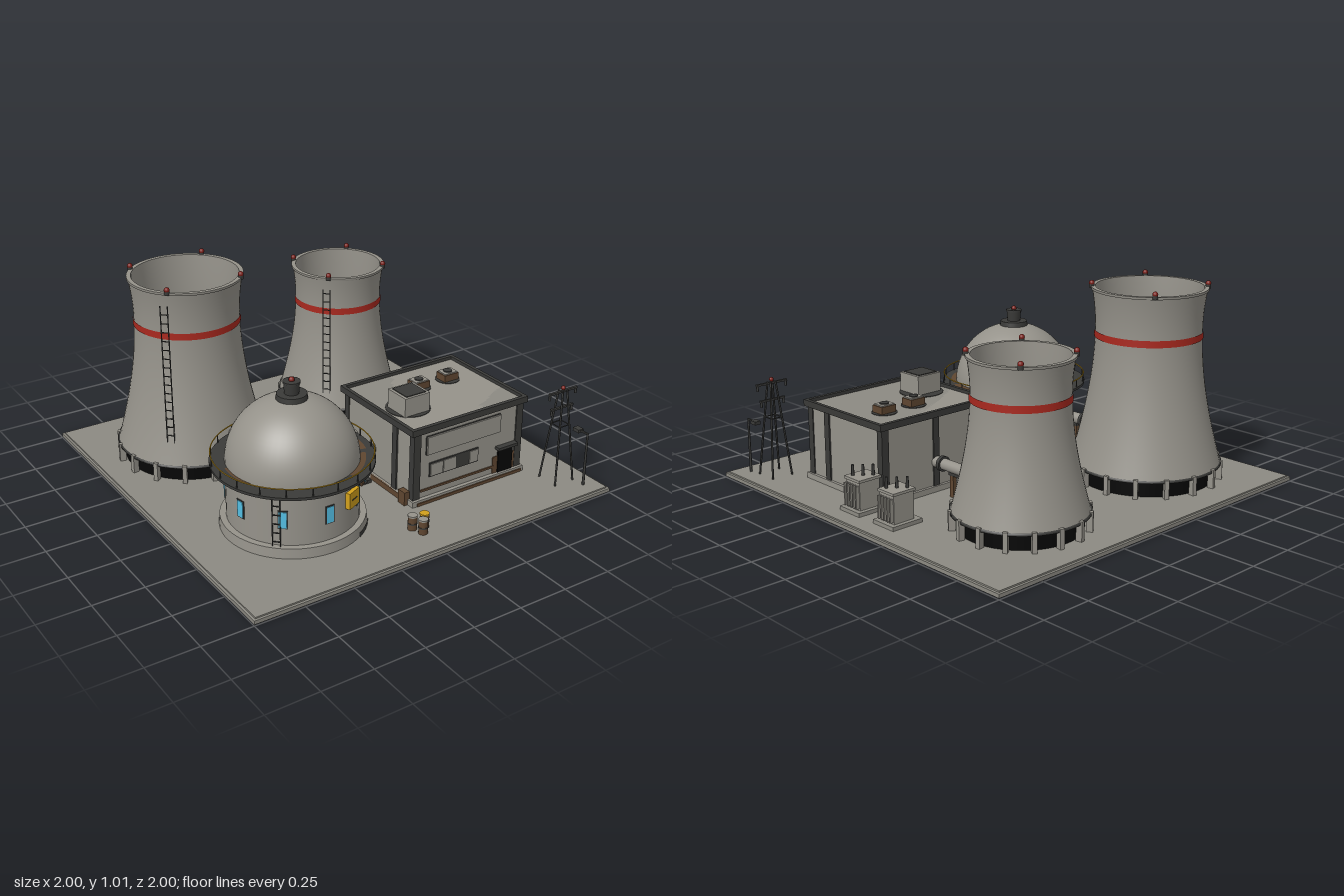
import * as THREE from 'three';

const colours = {
  concrete: 0x95928a, ground: 0x8c8a82, steel: 0x3a3a38, black: 0x060606, rust: 0x5f4630,
  red: 0xa8281e, lampRed: 0x7c1e18, yellow: 0xd2a01c, glass: 0x54bfe4, lightGrey: 0xa3a19a,
};
const M = {};

const add = (parent, name, geo, mat, x = 0, y = 0, z = 0) => {
  const m = new THREE.Mesh(geo, mat);
  m.name = name;
  m.position.set(x, y, z);
  parent.add(m);
  return m;
};
const group = (parent, name, x = 0, y = 0, z = 0, ry = 0) => {
  const g = new THREE.Group();
  g.name = name;
  g.position.set(x, y, z);
  g.rotation.y = ry;
  parent.add(g);
  return g;
};
// box given by its min and max corners
const box = (p, name, mat, x0, x1, y0, y1, z0, z1) => add(p, name,
  new THREE.BoxGeometry(x1 - x0, y1 - y0, z1 - z0), mat, (x0 + x1) / 2, (y0 + y1) / 2, (z0 + z1) / 2);
// upright cylinder from y0 to y1
const cyl = (p, name, mat, r0, r1, y0, y1, x = 0, z = 0, seg = 20) => add(p, name,
  new THREE.CylinderGeometry(r1, r0, y1 - y0, seg), mat, x, (y0 + y1) / 2, z);
// rod between two points
const rod = (p, name, mat, r, a, b, seg = 6) => {
  const A = new THREE.Vector3(...a), B = new THREE.Vector3(...b), d = B.clone().sub(A);
  const m = add(p, name, new THREE.CylinderGeometry(r, r, d.length(), seg), mat);
  m.position.copy(A).add(B).multiplyScalar(0.5);
  m.quaternion.setFromUnitVectors(new THREE.Vector3(0, 1, 0), d.normalize());
  return m;
};
const lathe = (p, name, mat, pts, seg = 56, start = 0, len = Math.PI * 2) =>
  add(p, name, new THREE.LatheGeometry(pts.map(q => new THREE.Vector2(...q)), seg, start, len), mat);

// ladder facing outward along +z of its own group
function ladder(parent, x, z, ry, y0, y1) {
  const g = group(parent, 'ladder', x, 0, z, ry);
  for (const s of [-1, 1]) box(g, 'ladderRail', M.steel, s * 0.018 - 0.002, s * 0.018 + 0.002, y0, y1, -0.003, 0.003);
  for (let y = y0 + 0.02; y < y1; y += 0.045) box(g, 'ladderRung', M.steel, -0.018, 0.018, y, y + 0.004, -0.002, 0.002);
}

function coolingTower(root, name, x, z, rBase, rNeck, rTop, yNeck, yTop, yBand) {
  const t = group(root, name, x, 0, z), y0 = 0.11;
  const radius = y => {
    const [re, ye] = y < yNeck ? [rBase, y0] : [rTop, yTop];
    return Math.sqrt(rNeck ** 2 + (re ** 2 - rNeck ** 2) * ((y - yNeck) / (ye - yNeck)) ** 2);
  };
  const profile = (a, b, n, off) => Array.from({ length: n + 1 }, (_, i) => {
    const y = a + (b - a) * i / n;
    return [radius(y) + off, y];
  });
  lathe(t, 'towerShell', M.concrete, profile(y0, yTop, 24, 0));
  lathe(t, 'towerInnerWall', M.concrete, [[rTop - 0.018, yTop], [rNeck - 0.006, yTop - 0.12], [rNeck - 0.006, yTop - 0.23]]);
  lathe(t, 'warningBand', M.red, profile(yBand - 0.017, yBand + 0.017, 3, 0.004));
  lathe(t, 'rimLip', M.concrete, [[rTop, yTop - 0.012], [rTop + 0.004, yTop - 0.012], [rTop + 0.004, yTop]]);
  lathe(t, 'rimTop', M.concrete, [[rTop + 0.004, yTop], [rTop - 0.018, yTop]]);
  cyl(t, 'towerShaft', M.black, rNeck - 0.006, rNeck - 0.006, yTop - 0.225, yTop - 0.22, 0, 0, 56);
  // intake level: dark core, ring beam and columns
  cyl(t, 'intakeCore', M.black, rBase - 0.03, rBase - 0.03, 0.02, 0.118, 0, 0, 48);
  lathe(t, 'ringBeam', M.steel, [[rBase - 0.03, 0.108], [rBase + 0.004, 0.108], [rBase + 0.004, 0.12], [rBase - 0.005, 0.12]]);
  for (let i = 0; i < 16; i++) {
    const c = group(t, 'intakeColumn', 0, 0, 0, (i + 0.5) / 16 * Math.PI * 2);
    box(c, 'column', M.concrete, -0.011, 0.011, 0.02, 0.125, rBase - 0.02, rBase + 0.011);
  }
  for (let i = 0; i < 4; i++) {
    const a = Math.PI / 4 + i * Math.PI / 2, lx = Math.cos(a) * rTop, lz = Math.sin(a) * rTop;
    cyl(t, 'lampFoot', M.steel, 0.013, 0.013, yTop - 0.01, yTop + 0.01, lx, lz, 10);
    add(t, 'warningLamp', new THREE.SphereGeometry(0.014, 12, 8), M.lampRed, lx, yTop + 0.014, lz);
  }
  const rl = (rBase + rNeck) / 2 + 0.02;
  ladder(t, -rl * 0.707, rl * 0.707, -Math.PI / 4, 0.2, yTop - 0.045);
}

function reactor(root) {
  const g = group(root, 'reactor', -0.445, 0, 0.41), R = 0.31;
  cyl(g, 'reactorPlinth', M.concrete, 0.345, 0.34, 0.02, 0.08, 0, 0, 56);
  cyl(g, 'reactorWall', M.concrete, R, R, 0.07, 0.36, 0, 0, 56);
  add(g, 'dome', new THREE.SphereGeometry(R, 56, 20, 0, Math.PI * 2, 0, Math.PI / 2), M.concrete, 0, 0.355, 0);
  cyl(g, 'walkwayDeck', M.steel, 0.38, 0.38, 0.347, 0.36, 0, 0, 56);
  add(g, 'handrail', new THREE.TorusGeometry(0.374, 0.003, 6, 64), M.yellow, 0, 0.4, 0).rotation.x = Math.PI / 2;
  for (let i = 0; i < 20; i++) {
    const a = i / 20 * Math.PI * 2;
    cyl(g, 'railPost', M.steel, 0.003, 0.003, 0.36, 0.4, Math.cos(a) * 0.374, Math.sin(a) * 0.374, 6);
  }
  // weathering
  for (const [a, l, r] of [[0.4, 0.7, 0.335], [1.2, 1.2, 0.345], [4.5, 0.6, 0.322]])
    lathe(g, 'deckRust', M.rust, [[r, 0.362], [R, 0.362]], 16, a, l);
  for (const [a, l, mat, h] of [[0.5, 0.85, M.steel, 0.055], [2.2, 0.5, M.rust, 0.05]])
    lathe(g, 'plinthStain', mat, [[0.347, 0.028], [0.346, h]], 16, a, l);
  // windows
  for (let i = 0; i < 9; i++) {
    if (i === 2) continue;
    const w = group(g, 'window', 0, 0, 0, i * Math.PI * 2 / 9);
    box(w, 'windowFrame', M.steel, -0.023, 0.023, 0.165, 0.255, R - 0.01, R + 0.003);
    box(w, 'windowPane', M.glass, -0.018, 0.018, 0.17, 0.25, R, R + 0.006);
  }
  const h = group(g, 'warningHatch', 0, 0, 0, 0.44);
  box(h, 'hatchPlate', M.yellow, -0.042, 0.042, 0.2, 0.28, R - 0.01, R + 0.02);
  box(h, 'hatchMark', M.steel, -0.02, 0.02, 0.238, 0.243, R + 0.02, R + 0.022);
  ladder(g, -0.228, 0.228, -Math.PI / 4, 0.08, 0.36);
  // dome cap
  cyl(g, 'capBase', M.steel, 0.075, 0.07, 0.645, 0.68, 0, 0, 24);
  cyl(g, 'capNeck', M.steel, 0.034, 0.038, 0.68, 0.735, 0, 0, 16);
  cyl(g, 'capTop', M.steel, 0.041, 0.041, 0.73, 0.74, 0, 0, 16);
  add(g, 'capLamp', new THREE.SphereGeometry(0.014, 12, 8), M.lampRed, 0, 0.745, 0);
}

function turbineHall(root) {
  const g = group(root, 'turbineHall');
  box(g, 'hallPlinth', M.concrete, 0.075, 0.755, 0.02, 0.06, 0.04, 0.64);
  box(g, 'hallWalls', M.concrete, 0.09, 0.74, 0.03, 0.42, 0.055, 0.62);
  box(g, 'roof', M.ground, 0.075, 0.755, 0.405, 0.42, 0.045, 0.63);
  for (const [x0, x1, z0, z1] of [[0.067, 0.762, 0.037, 0.057], [0.067, 0.762, 0.616, 0.636], [0.067, 0.086, 0.057, 0.616], [0.743, 0.762, 0.057, 0.616]])
    box(g, 'parapet', M.steel, x0, x1, 0.405, 0.437, z0, z1);
  for (const x of [0.085, 0.705]) for (const z of [0.05, 0.59])
    box(g, 'cornerPillar', M.steel, x, x + 0.04, 0.03, 0.41, z, z + 0.036);
  for (const x of [0.082, 0.738]) box(g, 'sidePillar', M.steel, x, x + 0.01, 0.05, 0.41, 0.455, 0.492);
  box(g, 'backPillar', M.steel, 0.4, 0.435, 0.05, 0.41, 0.048, 0.06);
  // front face
  box(g, 'fasciaShadow', M.steel, 0.157, 0.603, 0.283, 0.381, 0.615, 0.626);
  box(g, 'fasciaPanel', M.concrete, 0.16, 0.6, 0.286, 0.378, 0.62, 0.634);
  box(g, 'louvrePanel', M.steel, 0.18, 0.475, 0.16, 0.235, 0.615, 0.625);
  for (const [a, b] of [[0.185, 0.255], [0.262, 0.335], [0.42, 0.47]])
    box(g, 'louvre', M.concrete, a, b, 0.167, 0.228, 0.62, 0.629);
  box(g, 'rustStrip', M.rust, 0.13, 0.58, 0.092, 0.103, 0.616, 0.626);
  box(g, 'rustFooting', M.rust, 0.1, 0.74, 0.033, 0.048, 0.636, 0.645);
  box(g, 'doorRust', M.rust, 0.57, 0.72, 0.05, 0.15, 0.615, 0.624);
  box(g, 'door', M.black, 0.6, 0.69, 0.05, 0.19, 0.615, 0.629);
  box(g, 'doorCanopy', M.steel, 0.585, 0.705, 0.19, 0.205, 0.615, 0.65);
  box(g, 'wallStain', M.steel, 0.75, 0.758, 0.033, 0.061, 0.16, 0.34);
  box(g, 'wallStainUpper', M.steel, 0.735, 0.744, 0.06, 0.09, 0.17, 0.28);
  box(g, 'wallRust', M.rust, 0.072, 0.08, 0.025, 0.06, 0.3, 0.6);
  box(g, 'sideBox', M.rust, 0.055, 0.085, 0.03, 0.1, 0.55, 0.6);
  // rooftop plant
  cyl(g, 'roofStain', M.steel, 0.11, 0.11, 0.419, 0.423, 0.22, 0.39, 28);
  box(g, 'airUnit', M.concrete, 0.14, 0.285, 0.42, 0.518, 0.335, 0.475);
  box(g, 'airUnitGrille', M.steel, 0.155, 0.27, 0.515, 0.522, 0.348, 0.462);
  for (const x of [0.4, 0.58]) {
    cyl(g, 'ventStain', M.steel, 0.062, 0.062, 0.419, 0.423, x, 0.235, 24);
    box(g, 'ventBox', M.rust, x - 0.043, x + 0.043, 0.42, 0.458, 0.2, 0.27);
    box(g, 'ventTop', M.concrete, x - 0.038, x + 0.038, 0.458, 0.464, 0.205, 0.265);
    cyl(g, 'ventFan', M.steel, 0.022, 0.022, 0.464, 0.469, x, 0.235, 16);
  }
}

// pipe with two flanges on a two-legged trestle
function pipe(root, a, b, r) {
  const g = group(root, 'pipe'), A = new THREE.Vector3(...a), B = new THREE.Vector3(...b);
  const at = t => A.clone().lerp(B, t).toArray();
  rod(g, 'pipeRun', M.concrete, r, a, b, 20);
  for (const t of [0.16, 0.8]) rod(g, 'flange', M.steel, r + 0.01, at(t), at(t + 0.06), 20);
  const [x, y, z] = at(0.5), s = group(g, 'pipeTrestle', x, 0, z, Math.atan2(B.x - A.x, B.z - A.z));
  box(s, 'trestleBeam', M.steel, -0.014, 0.014, y - r - 0.012, y - r + 0.006, -0.05, 0.05);
  for (const d of [-0.034, 0.034]) box(s, 'trestleLeg', M.rust, -0.01, 0.01, 0.02, y - r - 0.01, d - 0.012, d + 0.012);
}

function transformer(root, x, z, front) {
  const g = group(root, 'transformer', x, 0, z);
  box(g, 'transformerPad', M.ground, -0.085, 0.085, 0.02, 0.05, -0.072, 0.072);
  box(g, 'transformerTank', M.concrete, -0.055, 0.06, 0.05, 0.19, -0.05, 0.05);
  box(g, 'transformerLid', M.concrete, -0.062, 0.067, 0.185, 0.198, -0.056, 0.056);
  box(g, 'tankFront', front, -0.05, 0.055, 0.06, 0.18, 0.05, 0.056);
  for (let i = 0; i < 5; i++) box(g, 'coolingFin', M.concrete, 0.06, 0.078, 0.06, 0.17, -0.046 + i * 0.021, -0.038 + i * 0.021);
  for (const s of [-1, 0, 1]) cyl(g, 'bushing', M.steel, 0.008, 0.006, 0.198, 0.25, s * 0.036, s * 0.03, 8);
}

function pylon(root) {
  const g = group(root, 'pylon', 0.84, 0, 0.79), top = 0.51;
  const corners = [[1, 1], [-1, 1], [-1, -1], [1, -1]];
  const leg = (i, y) => {
    const w = 0.058 + (0.014 - 0.058) * (y - 0.02) / (top - 0.02);
    return [corners[i % 4][0] * w, y, corners[i % 4][1] * w];
  };
  for (let i = 0; i < 4; i++) {
    rod(g, 'pylonLeg', M.steel, 0.005, leg(i, 0.02), leg(i, top));
    rod(g, 'pylonBrace', M.steel, 0.003, leg(i, 0.33), leg(i + 1, 0.33), 5);
  }
  for (const [y, w] of [[0.505, 0.088], [0.42, 0.07]]) {
    box(g, 'pylonArm', M.steel, -w, w, y - 0.005, y + 0.005, -0.006, 0.006);
    for (const s of [-1, 1]) cyl(g, 'insulator', M.steel, 0.006, 0.006, y - 0.03, y, s * (w - 0.006), 0, 8);
  }
  add(g, 'pylonLamp', new THREE.SphereGeometry(0.011, 10, 8), M.lampRed, 0, 0.522, 0);
}

export function createModel() {
  for (const [n, c] of Object.entries(colours)) {
    M[n] = new THREE.MeshStandardMaterial({ color: c });
    M[n].name = n;
  }
  const root = new THREE.Group();
  root.name = 'powerPlant';
  // ground slab with a stepped edge and darker footings showing below
  box(root, 'groundSlab', M.ground, -1, 1, 0.006, 0.024, -1, 1);
  box(root, 'slabTop', M.ground, -0.988, 0.988, 0.015, 0.031, -0.988, 0.988);
  cyl(root, 'reactorFooting', M.steel, 0.345, 0.345, 0, 0.01, -0.445, 0.41, 48);
  box(root, 'hallFooting', M.steel, 0.075, 0.755, 0, 0.01, 0.04, 0.64);
  box(root, 'canalFooting', M.steel, -0.055, 0.055, 0.001, 0.01, -0.28, 0.33);
  box(root, 'pipeFooting', M.steel, -0.15, 0.09, 0.002, 0.01, 0.15, 0.36);
  box(root, 'transformerFooting', M.steel, 0.74, 0.9, 0, 0.01, -0.21, -0.07);

  coolingTower(root, 'largeCoolingTower', -0.5, -0.475, 0.372, 0.26, 0.28, 0.78, 0.985, 0.757);
  coolingTower(root, 'smallCoolingTower', 0.44, -0.55, 0.317, 0.225, 0.241, 0.66, 0.828, 0.64);
  reactor(root);
  turbineHall(root);

  // pipework
  pipe(root, [-0.16, 0.2, 0.245], [0.1, 0.2, 0.135], 0.028);
  pipe(root, [-0.16, 0.2, 0.39], [0.1, 0.2, 0.28], 0.028);
  pipe(root, [0.415, 0.18, -0.26], [0.415, 0.18, 0.06], 0.028);
  pipe(root, [-0.445, 0.24, -0.16], [-0.445, 0.24, 0.12], 0.028);

  // cooling canal
  box(root, 'canalBed', M.steel, -0.055, 0.055, 0.02, 0.037, -0.28, 0.33);
  box(root, 'canalWater', M.glass, -0.033, 0.033, 0.03, 0.041, -0.265, 0.315);
  for (const s of [-1, 1]) box(root, 'canalCurb', M.steel, s * 0.043 - 0.012, s * 0.043 + 0.012, 0.02, 0.048, -0.28, 0.33);
  box(root, 'canalGate', M.lightGrey, -0.01, 0.01, 0.03, 0.048, -0.055, -0.035);

  transformer(root, 0.815, -0.14, M.concrete);
  transformer(root, 0.82, 0.1, M.rust);
  pylon(root);

  // lamp post
  const lamp = group(root, 'lampPost', 0.908, 0, 0.91);
  cyl(lamp, 'lampPole', M.steel, 0.007, 0.005, 0.02, 0.31, 0, 0, 8);
  box(lamp, 'lampArm', M.steel, -0.004, 0.004, 0.302, 0.31, -0.07, 0);
  box(lamp, 'lampHead', M.steel, -0.016, 0.016, 0.295, 0.312, -0.085, -0.045);

  // barrels
  for (const [x, z, lid] of [[-0.035, 0.785, M.concrete], [-0.015, 0.84, M.concrete], [0.022, 0.8, M.yellow]]) {
    const b = group(root, 'barrel', x, 0, z);
    cyl(b, 'barrelBody', M.rust, 0.022, 0.022, 0.02, 0.1, 0, 0, 16);
    cyl(b, 'barrelLid', lid, 0.023, 0.023, 0.097, 0.105, 0, 0, 16);
    cyl(b, 'barrelHoop', M.steel, 0.0235, 0.0235, 0.06, 0.067, 0, 0, 16);
  }
  return root;
}
